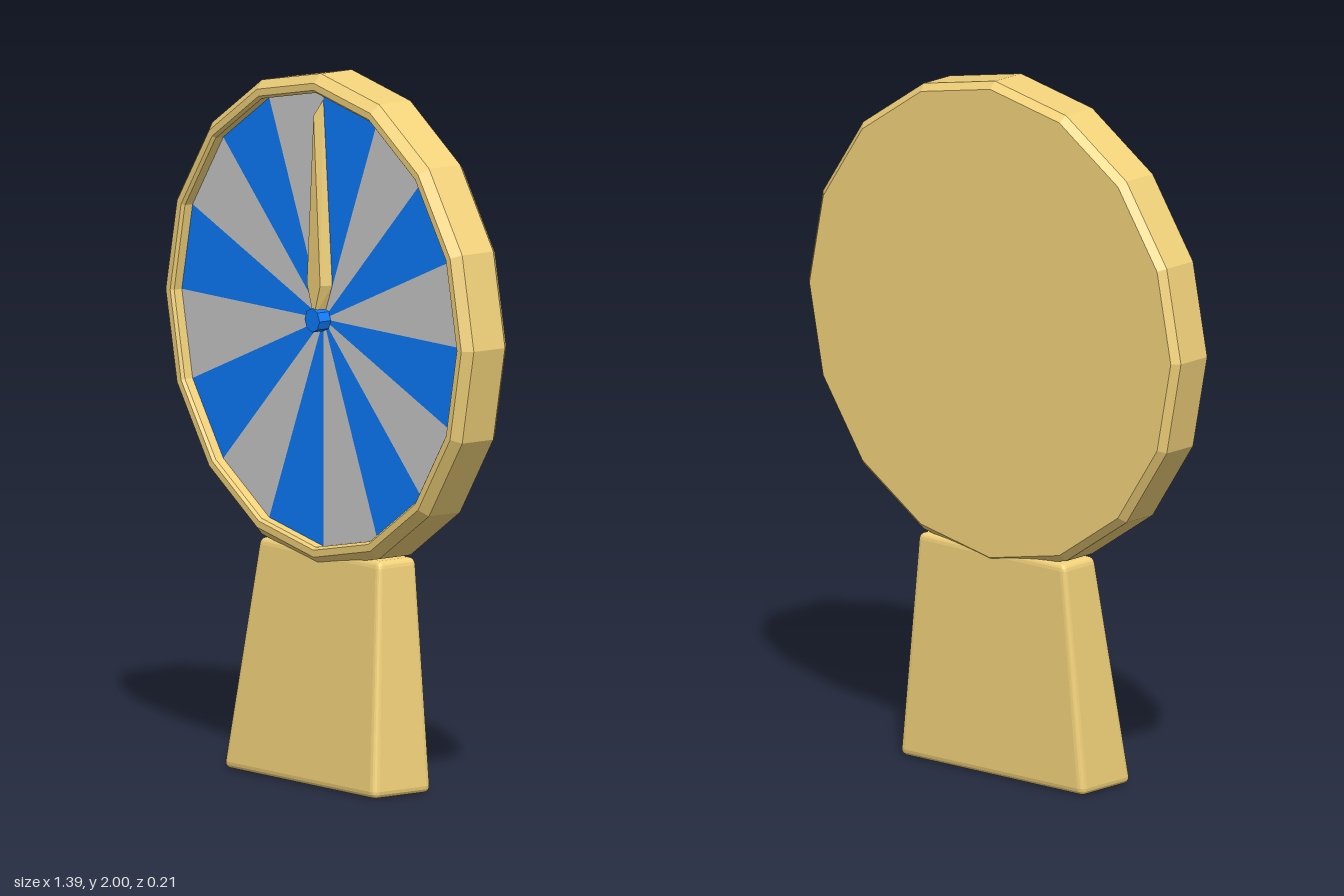
import * as THREE from 'three';
import { RoundedBoxGeometry } from 'three/addons/geometries/RoundedBoxGeometry.js';

const SIDES = 16, CENTER_Y = 1.305, FACE_R = 0.642, FACE_Z = 0.015;

const material = (color) => new THREE.MeshStandardMaterial({ color, flatShading: true });

function part(name, geometry, mat, y = 0, z = 0) {
  const mesh = new THREE.Mesh(geometry, mat);
  mesh.name = name;
  mesh.position.set(0, y, z);
  return mesh;
}

// Shallow tray with chamfered rim, turned to face +z
function rimGeometry() {
  const profile = [
    [0, -0.105], [0.675, -0.105], [0.695, -0.085], [0.695, 0.025], [0.67, 0.05],
    [0.65, 0.05], [FACE_R, 0.042], [FACE_R, 0.01], [0, 0.01],
  ].map(([r, h]) => new THREE.Vector2(r, h));
  return new THREE.LatheGeometry(profile, SIDES).rotateX(Math.PI / 2);
}

// Kite-shaped needle whose front face is narrower than its back
function pointerGeometry() {
  const kite = new THREE.Shape([[0, 0.62], [-0.04, 0.1], [0, 0], [0.04, 0.1]]
    .map(([x, y]) => new THREE.Vector2(x, y)));
  const geo = new THREE.ExtrudeGeometry(kite, { depth: 0.035, bevelEnabled: false });
  const pos = geo.attributes.position;
  for (let i = 0; i < pos.count; i++) {
    if (pos.getZ(i) < 0.01) continue;
    pos.setXY(i, pos.getX(i) * 0.75, 0.1 + (pos.getY(i) - 0.1) * 0.92);
  }
  geo.computeVertexNormals();
  return geo;
}

// Softly edged block tapering upward, with an upright back
function standGeometry() {
  const h = 0.655, back = -0.102;
  const geo = new RoundedBoxGeometry(0.69, h, 0.207, 2, 0.02);
  geo.translate(0, h / 2, back + 0.207 / 2);
  const pos = geo.attributes.position;
  for (let i = 0; i < pos.count; i++) {
    const t = pos.getY(i) / h;
    pos.setX(i, pos.getX(i) * (1 - 0.21 * t));
    pos.setZ(i, back + (pos.getZ(i) - back) * (1 - 0.36 * t));
  }
  geo.computeVertexNormals();
  return geo;
}

export function createModel() {
  const model = new THREE.Group();
  model.name = 'prizeWheel';
  const gold = material(0xf2d27a), blue = material(0x0d7dff), grey = material(0xcccccc);

  model.add(part('stand', standGeometry(), gold));
  model.add(part('rim', rimGeometry(), gold, CENTER_Y));

  // Alternating wedges of the wheel face
  const face = new THREE.Group();
  face.name = 'wheelFace';
  const step = (Math.PI * 2) / SIDES;
  for (let i = 0; i < SIDES; i++) {
    const wedge = new THREE.CircleGeometry(FACE_R, 1, i * step, step);
    // A circle needs three segments, so each wedge is set to a single plain triangle
    const a = i * step, b = a + step;
    wedge.setIndex([0, 1, 2]);
    wedge.attributes.position.setXY(1, FACE_R * Math.cos(a), FACE_R * Math.sin(a));
    wedge.attributes.position.setXY(2, FACE_R * Math.cos(b), FACE_R * Math.sin(b));
    face.add(part(`wedge${i + 1}`, wedge, i % 2 ? blue : grey, CENTER_Y, FACE_Z));
  }
  model.add(face);

  // Needle and hub
  model.add(part('pointer', pointerGeometry(), gold, CENTER_Y, FACE_Z));
  const hub = new THREE.CylinderGeometry(0.034, 0.034, 0.04, 8).rotateX(Math.PI / 2);
  model.add(part('hub', hub, blue, CENTER_Y, FACE_Z + 0.02));

  return model;
}
